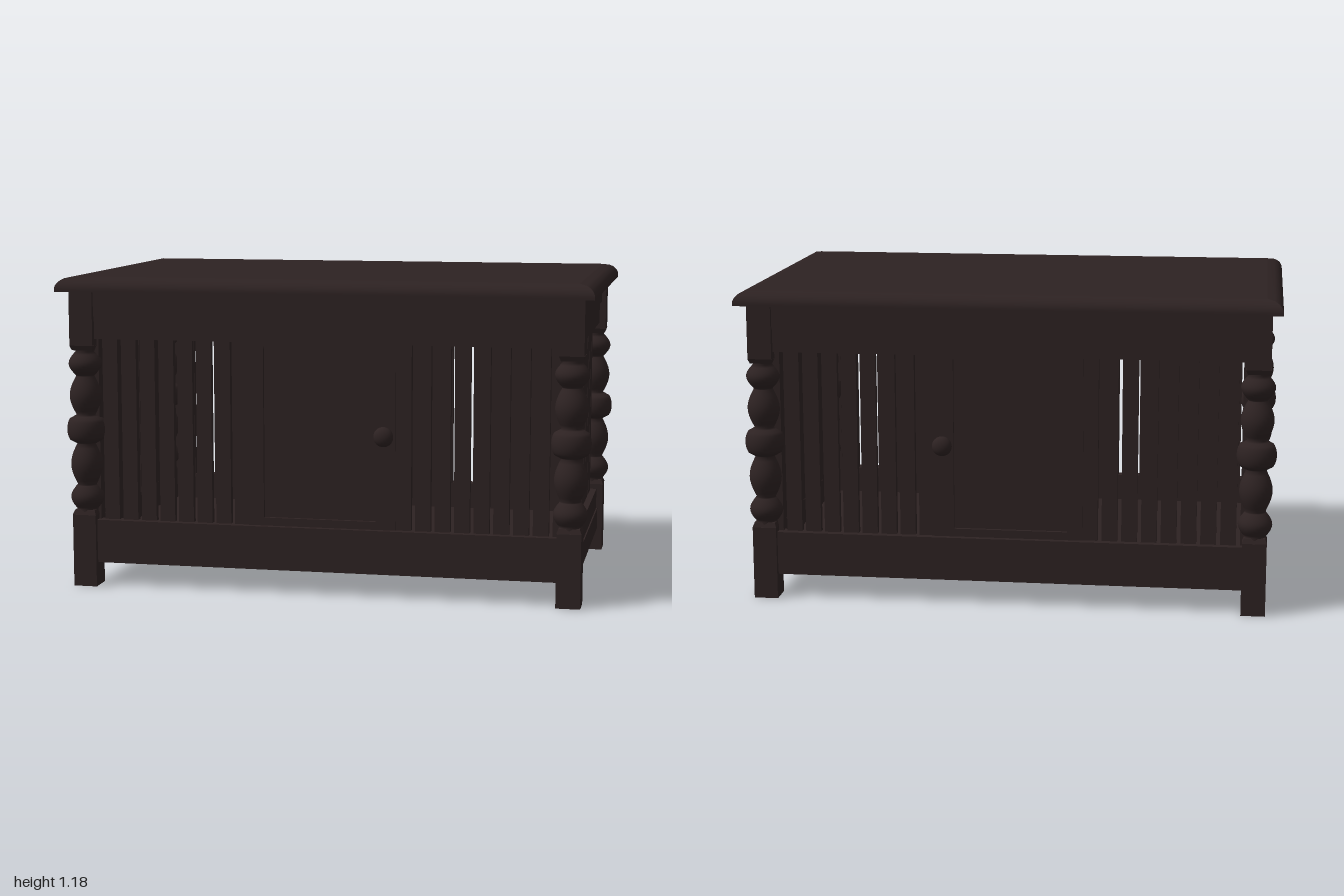
import * as THREE from 'three';

const wood = new THREE.MeshStandardMaterial({ color: 0x2d2222 });
wood.name = 'dark wood';

function add(parent, name, geometry, x = 0, y = 0, z = 0) {
  const mesh = new THREE.Mesh(geometry, wood);
  mesh.name = name;
  mesh.position.set(x, y, z);
  parent.add(mesh);
  return mesh;
}

// Box given by its centre in x and z, and its bottom and top heights
function block(parent, name, w, d, y0, y1, x, z) {
  return add(parent, name, new THREE.BoxGeometry(w, y1 - y0, d), x, (y0 + y1) / 2, z);
}

// Table top whose sides round inwards towards the upper face
function topGeometry() {
  const h = 0.055, lip = 0.008;
  const g = new THREE.BoxGeometry(2, h, 1.25, 1, 10, 1);
  const p = g.attributes.position;
  for (let i = 0; i < p.count; i++) {
    const t = Math.max(0, (p.getY(i) + h / 2 - lip) / (h - lip));
    const inset = 0.06 * (1 - Math.sqrt(Math.max(0, 1 - t * t)));
    p.setX(i, p.getX(i) - Math.sign(p.getX(i)) * inset);
    p.setZ(i, p.getZ(i) - Math.sign(p.getZ(i)) * inset);
  }
  g.computeVertexNormals();
  return g;
}

// Turned section of a leg: beads described by bottom, top, end and middle radius
function turningGeometry() {
  const pts = [new THREE.Vector2(0.045, 0.27)];
  const bead = (y0, y1, r0, r1, power = 1) => {
    for (let i = 0; i <= 10; i++) {
      const t = i / 10;
      const bulge = Math.pow(Math.sin(Math.PI * t), power);
      pts.push(new THREE.Vector2(r0 + (r1 - r0) * bulge, y0 + (y1 - y0) * t));
    }
  };
  bead(0.295, 0.385, 0.04, 0.063);
  bead(0.388, 0.545, 0.036, 0.061);
  bead(0.55, 0.65, 0.045, 0.073, 0.4);
  bead(0.655, 0.802, 0.036, 0.061);
  bead(0.805, 0.895, 0.036, 0.063);
  pts.push(new THREE.Vector2(0.045, 0.925));
  return new THREE.LatheGeometry(pts, 28);
}

function rect(path, x0, y0, x1, y1) {
  path.moveTo(x0, y0);
  path.lineTo(x1, y0);
  path.lineTo(x1, y1);
  path.lineTo(x0, y1);
  path.closePath();
  return path;
}

// Long side with rails, slats and a door, built facing +z
function longSide() {
  const side = new THREE.Group();
  block(side, 'upperApron', 1.76, 0.05, 1.03, 1.126, 0, 0.535);
  block(side, 'upperRail', 1.76, 0.05, 0.945, 1.03, 0, 0.527);
  block(side, 'lowerRail', 1.76, 0.05, 0.1, 0.255, 0, 0.53);
  block(side, 'lowerMoulding', 1.76, 0.05, 0.09, 0.1, 0, 0.526);
  for (let k = -1; k < 8; k++) block(side, 'slat', 0.058, 0.025, 0.25, 0.95, -0.82 + k * 0.073, 0.515);
  for (let k = 0; k < 9; k++) block(side, 'slat', 0.058, 0.025, 0.25, 0.95, 0.303 + k * 0.0725, 0.515);

  // Door frame, sunk panel and round knob
  const frame = rect(new THREE.Shape(), -0.283, 0.25, 0.274, 0.95);
  frame.holes.push(rect(new THREE.Path(), -0.225, 0.285, 0.2, 0.928));
  add(side, 'doorFrame', new THREE.ExtrudeGeometry(frame, { depth: 0.03, bevelEnabled: false }), 0, 0, 0.503);
  block(side, 'doorPanel', 0.44, 0.015, 0.275, 0.935, -0.0125, 0.512);
  const stem = add(side, 'knobStem', new THREE.CylinderGeometry(0.016, 0.02, 0.03, 20), 0.236, 0.61, 0.545);
  stem.rotation.x = Math.PI / 2;
  const knob = add(side, 'knob', new THREE.SphereGeometry(0.037, 24, 16), 0.236, 0.61, 0.575);
  knob.scale.z = 0.7;
  return side;
}

// Short side with rails and slats, built facing +x
function shortSide() {
  const side = new THREE.Group();
  block(side, 'upperApron', 0.05, 0.98, 1.03, 1.126, 0.92, 0);
  block(side, 'upperRail', 0.05, 0.98, 0.945, 1.03, 0.912, 0);
  block(side, 'lowerRail', 0.05, 0.98, 0.175, 0.255, 0.912, 0);
  block(side, 'baseRail', 0.05, 0.98, 0.09, 0.175, 0.917, 0);
  for (let k = -6; k <= 6; k++) block(side, 'slat', 0.025, 0.06, 0.25, 0.95, 0.9, k * 0.0697);
  return side;
}

export function createModel() {
  const model = new THREE.Group();
  model.name = 'slattedCabinetTable';

  add(model, 'tableTop', topGeometry(), 0, 1.1525, 0);
  block(model, 'floorPanel', 1.8, 1.02, 0.115, 0.15, 0, 0);

  // Four legs with square ends and a turned middle
  const turning = turningGeometry();
  for (const sx of [-1, 1]) {
    for (const sz of [-1, 1]) {
      const leg = new THREE.Group();
      leg.name = 'leg';
      leg.position.set(sx * 0.917, 0, sz * 0.527);
      block(leg, 'legFoot', 0.09, 0.094, 0, 0.275, 0, 0);
      block(leg, 'legHead', 0.09, 0.094, 0.92, 1.126, 0, 0);
      add(leg, 'legTurning', turning);
      // Tapered shoulders where the square ends meet the turning
      for (const [y, flip] of [[0.284, 0], [0.911, Math.PI]]) {
        const g = new THREE.CylinderGeometry(0.055, 0.065, 0.018, 4, 1).toNonIndexed();
        g.rotateY(Math.PI / 4);
        g.computeVertexNormals();
        add(leg, 'legShoulder', g, 0, y, 0).rotation.x = flip;
      }
      model.add(leg);
    }
  }

  // Opposite sides are mirrored
  for (const s of [1, -1]) {
    const long = longSide();
    long.name = s > 0 ? 'frontSide' : 'backSide';
    long.scale.z = s;
    const short = shortSide();
    short.name = s > 0 ? 'leftSide' : 'rightSide';
    short.scale.x = s;
    model.add(long, short);
  }
  return model;
}
